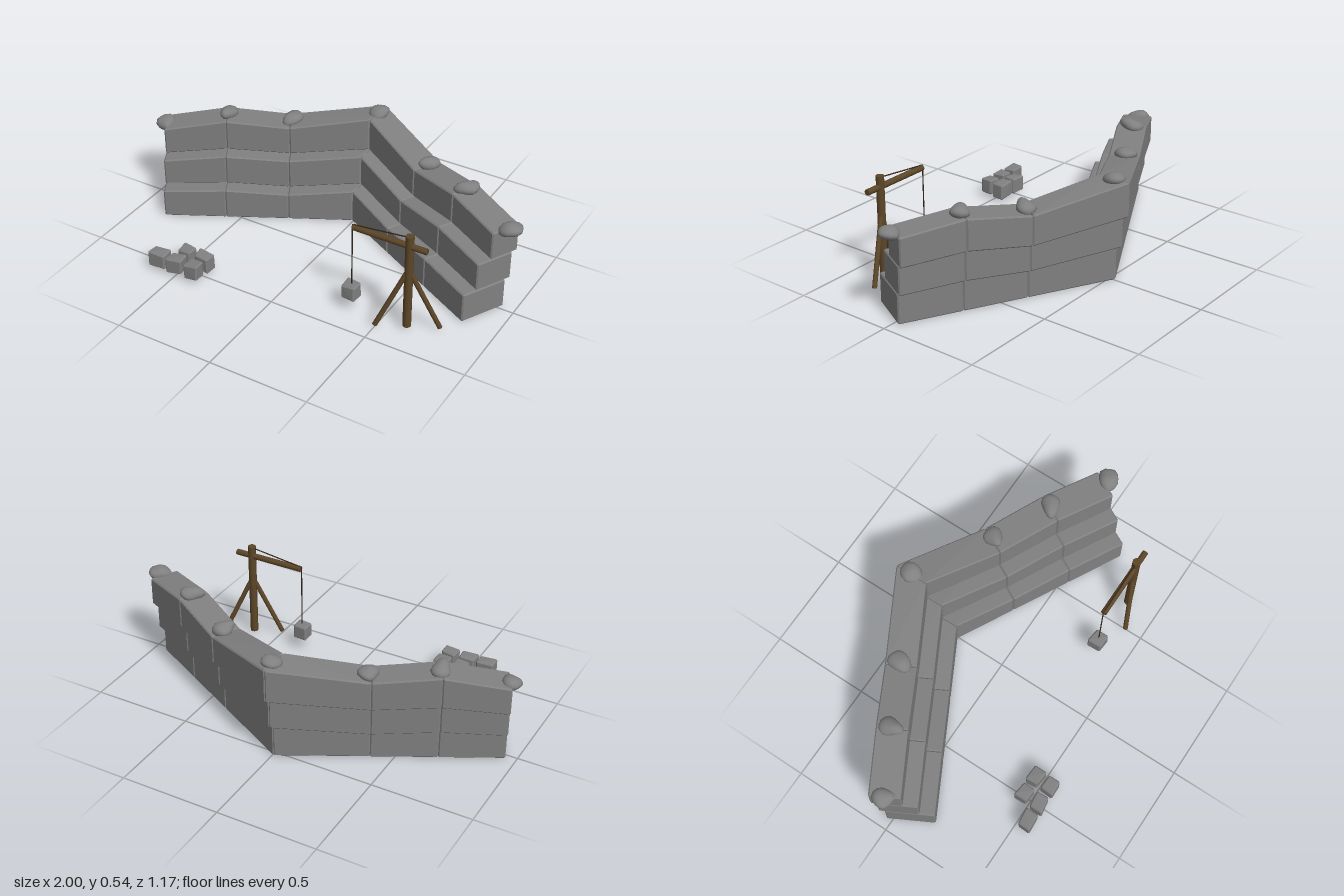
import * as THREE from 'three';
import { mergeVertices } from 'three/addons/utils/BufferGeometryUtils.js';
import { ConvexGeometry } from 'three/addons/geometries/ConvexGeometry.js';

const stone = new THREE.MeshStandardMaterial({ color: 0x808080 });
stone.name = 'grey stone';
const wood = new THREE.MeshStandardMaterial({ color: 0x5c4628 });
wood.name = 'brown wood';
const rope = new THREE.MeshStandardMaterial({ color: 0x33271a });
rope.name = 'dark rope';

const V = (x, y, z) => new THREE.Vector3(x, y, z);

function add(parent, geometry, material, name) {
  const mesh = new THREE.Mesh(geometry, material);
  mesh.name = name;
  parent.add(mesh);
  return mesh;
}

// Chamfered six-sided stone; corner index bits select the end on each axis
function chamferedStone(corners, k) {
  const points = [];
  corners.forEach((c, i) => {
    const steps = [1, 2, 4].map(bit =>
      corners[i ^ bit].clone().sub(c).normalize().multiplyScalar(k));
    for (let face = 0; face < 3; face++) {
      const p = c.clone();
      steps.forEach((s, axis) => { if (axis !== face) p.add(s); });
      points.push(p);
    }
  });
  return new ConvexGeometry(points);
}

// Slightly irregular cut cube
function cutCube(w, h, d, seed) {
  const corners = [];
  for (let i = 0; i < 8; i++) {
    const j = n => 0.005 * Math.sin(seed * 7.3 + i * 2.9 + n * 4.1);
    corners.push(V(
      (i & 1 ? 0.5 : -0.5) * w + j(0),
      (i & 2 ? 0.5 : -0.5) * h + j(1),
      (i & 4 ? 0.5 : -0.5) * d + j(2)));
  }
  return chamferedStone(corners, 0.006);
}

// Smooth lumpy capstone, drawn to a blunt point at one end
function boulder(seed) {
  let g = new THREE.SphereGeometry(1, 14, 10);
  g.deleteAttribute('uv');
  g.deleteAttribute('normal');
  g = mergeVertices(g, 1e-4);
  const p = g.attributes.position;
  for (let i = 0; i < p.count; i++) {
    const v = V().fromBufferAttribute(p, i);
    const lump = 1 + 0.07 * Math.sin(3 * v.x + seed) + 0.06 * Math.cos(4 * v.z + 2 * v.y + seed);
    const taper = 1 - 0.25 * v.z;
    p.setXYZ(i, v.x * 0.046 * lump * taper, v.y * 0.031 * lump, v.z * 0.058 * lump);
  }
  g.computeVertexNormals();
  return g;
}

// Round pole between two points
function pole(parent, a, b, r, material, name, sides = 12) {
  const dir = b.clone().sub(a);
  const mesh = add(parent, new THREE.CylinderGeometry(r, r, dir.length(), sides), material, name);
  mesh.position.copy(a).add(b).multiplyScalar(0.5);
  mesh.quaternion.setFromUnitVectors(V(0, 1, 0), dir.normalize());
  return mesh;
}

function createModel() {
  const model = new THREE.Group();
  model.name = 'ruinedWallAndCrane';

  // Wall: two mirrored arms, three courses of three blocks each
  const wall = new THREE.Group();
  wall.name = 'wall';
  model.add(wall);
  const centreX = -0.007, apexZ = -0.53;
  const dx = 0.883, dz = 0.469;
  const at = (side, u, v, y) =>
    V(centreX + side * (u * dx - v * dz), y, apexZ + u * dz + v * dx);
  const joints = [0, 0.445, 0.76, 1.07];
  const depths = [[0, 0.237], [-0.027, 0.166], [-0.054, 0.095]];
  const levels = {
    right: [[0, 0, 0, 0], [0.175, 0.145, 0.162, 0.152], [0.335, 0.282, 0.318, 0.298], [0.508, 0.432, 0.475, 0.443]],
    left: [[0, 0, 0, 0], [0.175, 0.145, 0.16, 0.146], [0.335, 0.298, 0.315, 0.282], [0.508, 0.446, 0.475, 0.42]],
  };
  for (const side of [1, -1]) {
    const arm = new THREE.Group();
    arm.name = side > 0 ? 'leftArm' : 'rightArm';
    wall.add(arm);
    const h = side > 0 ? levels.right : levels.left;
    for (let course = 0; course < 3; course++) {
      for (let b = 0; b < 3; b++) {
        const corners = [];
        for (let i = 0; i < 8; i++) {
          const j = b + (i & 1);
          const v = depths[course][i & 4 ? 1 : 0];
          const u = j === 0 ? v * dz / dx : joints[j]; // mitre at the corner
          corners.push(at(side, u, v, h[course + (i & 2 ? 1 : 0)][j]));
        }
        add(arm, chamferedStone(corners, 0.006), stone, 'wallBlock');
      }
    }
  }

  // Capstones: x, y, z, turn, tilt
  [
    [-0.945, 0.415, -0.012, 0.7, 0.1],
    [-0.665, 0.482, -0.16, 0.2, -0.2],
    [-0.38, 0.458, -0.31, -0.1, 0.15],
    [-0.002, 0.508, -0.508, 0, 0.2],
    [0.385, 0.45, -0.305, -0.5, -0.2],
    [0.66, 0.486, -0.155, -0.9, 0.1],
    [0.95, 0.448, -0.006, -0.9, 0.15],
  ].forEach(([x, y, z, turn, tilt], i) => {
    const cap = add(wall, boulder(i * 1.7), stone, 'capstone');
    cap.position.set(x, y, z);
    cap.rotation.set(tilt, turn, 0.1, 'YXZ');
  });

  // Crane: post, two braces, boom, ropes and hanging stone
  const crane = new THREE.Group();
  crane.name = 'crane';
  model.add(crane);
  const px = 0.63, pz = 0.344;
  pole(crane, V(px, 0.015, pz), V(px, 0.512, pz), 0.02, wood, 'post');
  pole(crane, V(0.5, 0.012, 0.41), V(px, 0.33, pz), 0.012, wood, 'brace');
  pole(crane, V(0.765, 0.012, 0.278), V(px, 0.33, pz), 0.012, wood, 'brace');
  pole(crane, V(0.345, 0.457, pz), V(0.717, 0.457, pz), 0.015, wood, 'boom');
  pole(crane, V(px, 0.503, pz), V(0.35, 0.47, pz), 0.003, rope, 'stayRope', 6);
  pole(crane, V(0.341, 0.47, pz), V(0.341, 0.13, pz), 0.003, rope, 'liftRope', 6);
  const load = add(crane, cutCube(0.08, 0.075, 0.07, 3), stone, 'hangingStone');
  load.position.set(0.338, 0.1, 0.344);

  // Loose building stones: x, z
  const pile = new THREE.Group();
  pile.name = 'stonePile';
  model.add(pile);
  [[-0.6, 0.546], [-0.503, 0.546], [-0.404, 0.546], [-0.498, 0.462], [-0.4, 0.462]]
    .forEach(([x, z], i) => {
      const cube = add(pile, cutCube(0.08, 0.08, 0.065, i), stone, 'looseStone');
      cube.position.set(x, 0.059, z);
      cube.rotation.y = 0.04 * Math.sin(i * 2);
    });

  return model;
}

export { createModel };
